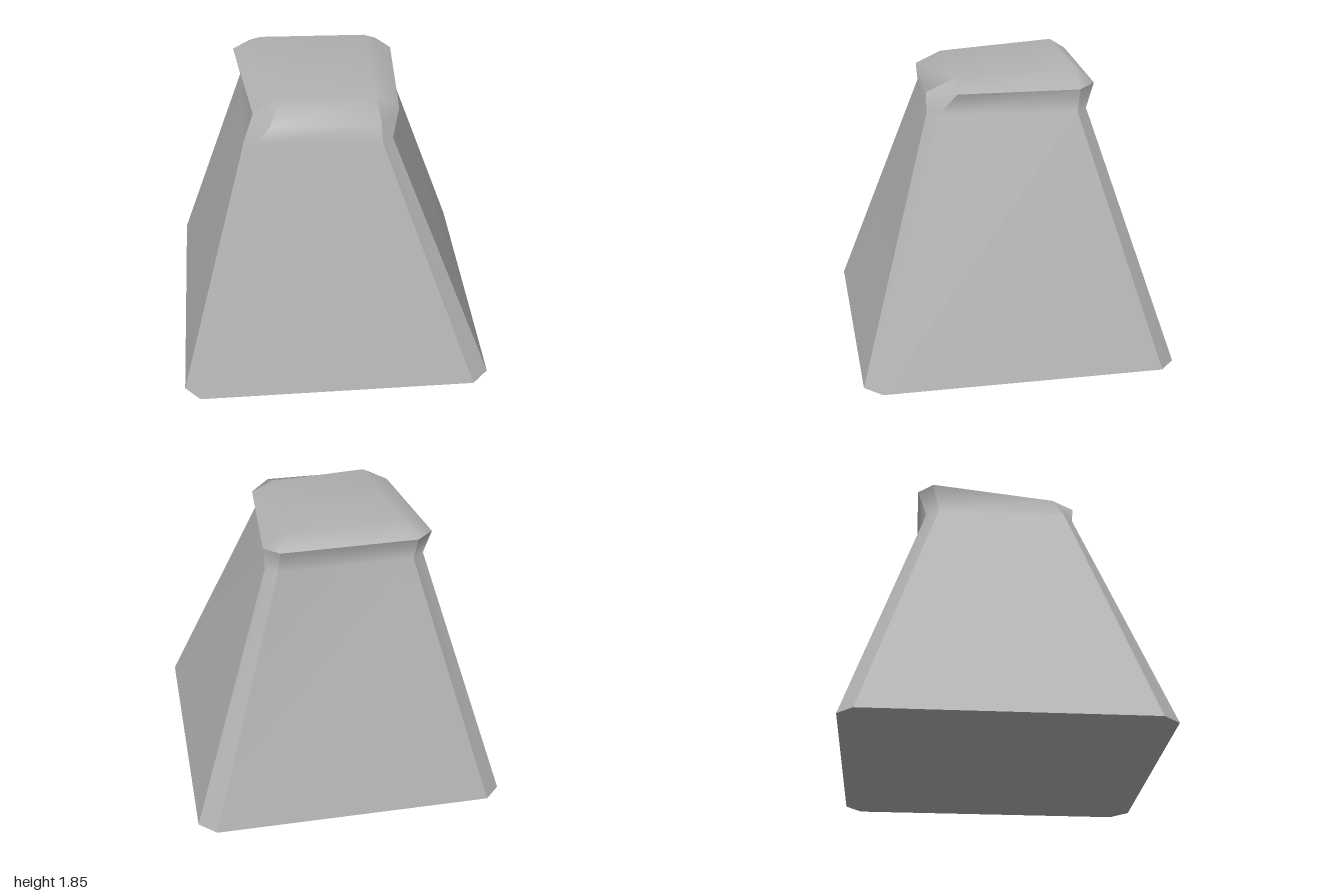
import * as THREE from 'three';

// Each ring runs front-right, right, back, left and ends at front-left: two points per clipped corner.
const base = [[0.89, 0, 1], [1, 0, 0.89], [1, 0, -0.9], [0.89, 0, -1], [-0.9, 0, -1], [-1, 0, -0.9], [-1, 0, 0.89], [-0.9, 0, 1]];
const neck = [[0.31, 1.59, 0.5], [0.38, 1.585, 0.44], [0.46, 1.585, -0.44], [0.39, 1.59, -0.51],
  [-0.46, 1.6, -0.51], [-0.54, 1.59, -0.43], [-0.54, 1.59, 0.4], [-0.47, 1.59, 0.46]];
const rim = [[0.3, 1.72, 0.5], [0.43, 1.73, 0.32], [0.47, 1.735, -0.45], [0.38, 1.75, -0.56],
  [-0.47, 1.765, -0.57], [-0.58, 1.76, -0.47], [-0.48, 1.735, 0.33], [-0.38, 1.73, 0.48]];
// Crown corners: front right, back right, back left, front left
const crown = [[0.29, 1.8, 0.31], [0.29, 1.835, -0.45], [-0.4, 1.85, -0.45], [-0.31, 1.825, 0.32]];
const points = [...base, ...neck, ...rim, ...crown];

// Wall panel i between two neighbouring rings
function panel(ring, i) {
  const a = ring * 8 + i, b = ring * 8 + (i + 1) % 8;
  return [a, b, b + 8, a, b + 8, a + 8];
}

// Slope from the rim to the crown: a triangle over each clipped corner, a quad elsewhere
function slope(i) {
  const j = (i + 1) % 8, a = 16 + i, b = 16 + j;
  const ta = 24 + (i >> 1), tb = 24 + (j >> 1);
  return ta === tb ? [a, b, ta] : [a, b, tb, a, tb, ta];
}

// One smooth-shaded patch; separate patches meet in sharp edges
function patch(name, indices, material) {
  const used = [...new Set(indices)];
  const geometry = new THREE.BufferGeometry();
  geometry.setAttribute('position', new THREE.Float32BufferAttribute(used.flatMap((k) => points[k]), 3));
  geometry.setIndex(indices.map((k) => used.indexOf(k)));
  geometry.computeVertexNormals();
  const mesh = new THREE.Mesh(geometry, material);
  mesh.name = name;
  return mesh;
}

export function createModel() {
  const group = new THREE.Group();
  group.name = 'taperedBlock';
  const stone = new THREE.MeshStandardMaterial({ color: 0xb0b0b0 });
  stone.name = 'stoneGrey';

  // Side walls and clipped corners, up to the overhanging rim
  const names = ['frontRightCorner', 'rightWall', 'backRightCorner', 'backWall', 'backLeftCorner', 'leftWall', 'frontLeftCorner'];
  names.forEach((name, i) => {
    const faces = [...panel(0, i), ...panel(1, i)];
    if (i === 0 || i === 6) faces.push(...slope(i));
    group.add(patch(name, faces, stone));
  });

  // Front wall rolls smoothly over into the crown and its slopes
  const cap = [24, 25, 26, 24, 26, 27];
  const slopes = [1, 2, 3, 4, 5, 7].flatMap(slope);
  group.add(patch('frontWallAndCrown', [...panel(0, 7), ...panel(1, 7), ...slopes, ...cap], stone));

  // Flat underside
  const underside = [];
  for (let i = 1; i < 7; i++) underside.push(0, i + 1, i);
  group.add(patch('underside', underside, stone));
  return group;
}
